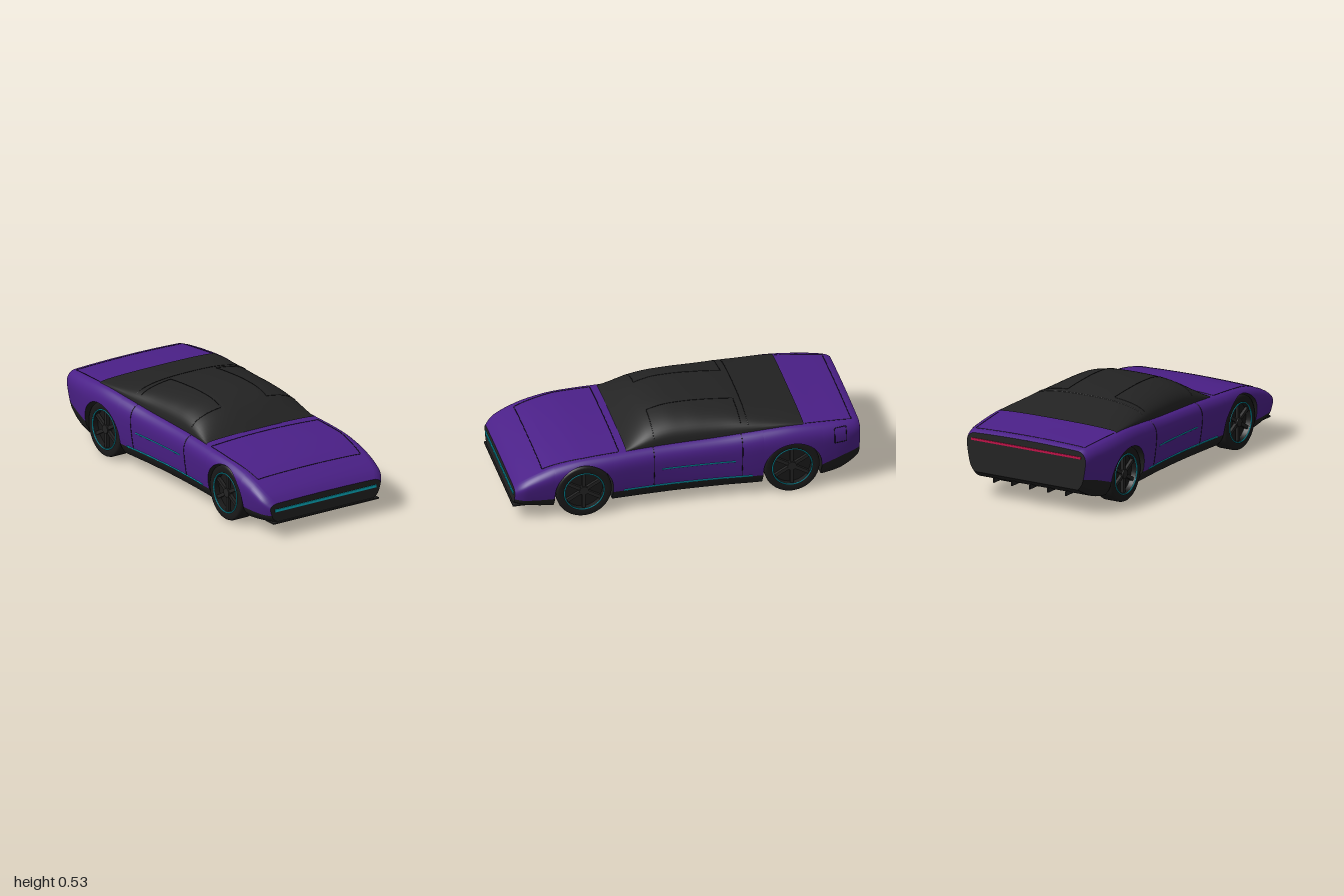
import * as THREE from 'three';

const mat = (name, color, side = THREE.FrontSide) => {
  const m = new THREE.MeshStandardMaterial({ color, side });
  m.name = name;
  return m;
};

// Smooth curve through [position, value] knots in ascending order
function curve(k) {
  const slope = (i) => {
    const a = k[Math.max(i - 1, 0)], b = k[Math.min(i + 1, k.length - 1)];
    return (b[1] - a[1]) / (b[0] - a[0]);
  };
  return (p) => {
    if (p <= k[0][0]) return k[0][1];
    if (p >= k[k.length - 1][0]) return k[k.length - 1][1];
    let i = 0;
    while (p > k[i + 1][0]) i++;
    const d = k[i + 1][0] - k[i][0], t = (p - k[i][0]) / d, t2 = t * t, t3 = t2 * t;
    return (2 * t3 - 3 * t2 + 1) * k[i][1] + (t3 - 2 * t2 + t) * d * slope(i)
      + (3 * t2 - 2 * t3) * k[i + 1][1] + (t3 - t2) * d * slope(i + 1);
  };
}

// Body measurements along z: half width, fender crest, sill top, floor, deck crown, roof
const BACK = -0.995, FRONT = 0.992;
const width = curve([[-1, 0.392], [-0.97, 0.407], [-0.92, 0.422], [-0.8, 0.441], [-0.6, 0.45], [-0.4, 0.441],
  [-0.2, 0.424], [0.05, 0.415], [0.25, 0.419], [0.5, 0.43], [0.8, 0.425], [0.93, 0.412], [0.97, 0.395], [1, 0.368]]);
const crest = curve([[-1, 0.38], [-0.97, 0.393], [-0.8, 0.408], [-0.6, 0.418], [-0.4, 0.405], [-0.2, 0.386],
  [0, 0.376], [0.2, 0.37], [0.4, 0.362], [0.6, 0.352], [0.7, 0.337], [0.8, 0.312], [0.9, 0.271], [0.96, 0.235], [1, 0.195]]);
const sill = curve([[-1, 0.222], [-0.9, 0.2], [-0.8, 0.168], [-0.7, 0.135], [-0.4, 0.13], [0.8, 0.13], [1, 0.135]]);
const floor = curve([[-1, 0.158], [-0.96, 0.132], [-0.88, 0.095], [-0.75, 0.076], [-0.5, 0.07], [0.75, 0.07], [1, 0.095]]);
const crown = curve([[-1, 0.008], [-0.8, 0.01], [-0.5, 0.014], [0.3, 0.015], [0.7, 0.012], [1, 0.004]]);
const roof = curve([[-0.67, 0.434], [-0.5, 0.466], [-0.3, 0.504], [-0.1, 0.523], [0, 0.525], [0.1, 0.518],
  [0.2, 0.488], [0.27, 0.444], [0.35, 0.382]]);
const flank = curve([[0, 0.87], [0.1, 0.92], [0.18, 0.945], [0.4, 0.975], [0.7, 1], [0.83, 0.994],
  [0.92, 0.965], [0.98, 0.92], [1, 0.88]]);

// Wheel arches
const AXLES = [-0.6, 0.6], WHEEL_R = 0.16, ARCH_R = 0.168, WELL_X = 0.28;
const archY = (z) => {
  const d = Math.min(...AXLES.map((a) => Math.abs(z - a)));
  return d <= ARCH_R + 1e-6 ? WHEEL_R + Math.sqrt(Math.max(0, ARCH_R ** 2 - d * d)) : -1;
};
const sideX = (z, y) => width(z) * flank((y - floor(z)) / (crest(z) - floor(z)));
const deckY = (x, z) => crest(z) + crown(z) * (1 - Math.min(1, (x / (0.88 * width(z))) ** 2));
const cabinY = (x, z) => {
  if (z < -0.67 || z > 0.35) return 0;
  const u = Math.min(1, Math.abs(x) / (0.875 * width(z)));
  return crest(z) + (roof(z) - crest(z)) * (1 - u ** 2.5) ** 0.4;
};
const topY = (x, z) => Math.max(deckY(x, z), cabinY(x, z));

// Skin between cross-sections; section(z) returns [x, y] points, stations ascend in z
function loft(stations, section) {
  const pos = [], idx = [];
  let n = 0;
  stations.forEach((z, i) => {
    const pts = section(z);
    n = pts.length;
    pts.forEach(([x, y]) => pos.push(x, y, z));
    if (i) for (let j = 0; j < n - 1; j++) {
      const a = (i - 1) * n + j, c = a + n;
      idx.push(a, a + 1, c, a + 1, c + 1, c);
    }
  });
  const g = new THREE.BufferGeometry();
  g.setAttribute('position', new THREE.Float32BufferAttribute(pos, 3));
  g.setIndex(idx);
  g.computeVertexNormals();
  return g;
}
const range = (a, b, n) => Array.from({ length: n + 1 }, (_, i) => a + (b - a) * i / n);
const mirror = (pts) => pts.map(([x, y]) => [-x, y]).reverse();
const archStations = (c) => [c - ARCH_R - 5e-4, ...range(-1, 1, 24).map((t) => c + ARCH_R * Math.sin(t * Math.PI / 2)), c + ARCH_R + 5e-4];

// Half sections, listed from the bottom up
const sillHalf = (z) => {
  const lo = Math.max(floor(z), archY(z)), hi = Math.max(sill(z), archY(z));
  return range(lo, hi, 4).map((y) => [sideX(z, y), y]);
};
const panelHalf = (z) => {
  const lo = Math.max(sill(z), archY(z)), hi = crest(z);
  const side = range(0, 1, 16).map((t) => lo + (hi - lo) * (1 - (1 - t) ** 1.8)).map((y) => [sideX(z, y), y]);
  return [...side, ...range(0.85, 0.15, 5).map((t) => [0.88 * width(z) * t, deckY(0.88 * width(z) * t, z)])];
};

export function createModel() {
  const paint = mat('purple paint', 0x4b2088);
  const glass = mat('black glass', 0x232323);
  const trim = mat('dark trim', 0x1e1e1e, THREE.DoubleSide);
  const rubber = mat('tyre rubber', 0x191919);
  const seamMat = mat('panel gap', 0x0e0e10);
  const cyan = mat('cyan light', 0x06b8cc);
  const red = mat('red light', 0xc00f48);
  const steel = mat('brake steel', 0xa0a0a0);
  const car = new THREE.Group();
  car.name = 'sportsCar';
  const add = (name, geo, material, parent = car) => {
    const m = new THREE.Mesh(geo, material);
    m.name = name;
    parent.add(m);
    return m;
  };
  const box = (name, size, at, material, parent) => {
    const m = add(name, new THREE.BoxGeometry(...size), material, parent);
    m.position.set(...at);
    return m;
  };

  // Body shell, sills and floor
  const stations = [...range(BACK, -0.85, 10), ...range(-0.8, 0.8, 40), ...range(0.85, FRONT, 10)]
    .filter((z) => AXLES.every((a) => Math.abs(z - a) > ARCH_R + 0.001))
    .concat(...AXLES.map(archStations)).sort((a, b) => a - b);
  add('bodyShell', loft(stations, (z) => [...panelHalf(z), [0, deckY(0, z)], ...mirror(panelHalf(z))]), paint);
  add('leftSill', loft(stations, sillHalf), trim);
  add('rightSill', loft(stations, (z) => mirror(sillHalf(z))), trim);
  add('floorPan', loft(stations, (z) => {
    const x = archY(z) > 0 ? WELL_X : sideX(z, floor(z));
    return [[-x, floor(z)], [x, floor(z)]];
  }), trim);

  // Wheel wells
  for (const c of AXLES) for (const s of [1, -1]) {
    add('wheelWell', loft(archStations(c), (z) => {
      const y = Math.max(floor(z), archY(z));
      return [[s * WELL_X, floor(z)], [s * WELL_X, y], [s * sideX(z, y), y]];
    }), trim);
  }

  // Nose and tail panels closing the shell
  for (const [name, z] of [['nosePanel', FRONT], ['tailPanel', BACK]]) {
    const half = [...sillHalf(z), ...panelHalf(z).slice(1)];
    const outline = [...half, ...mirror(half)].map(([x, y]) => new THREE.Vector2(x, y));
    const panel = add(name, new THREE.ShapeGeometry(new THREE.Shape(outline)), glass);
    panel.position.z = z;
    if (z < 0) panel.rotation.y = Math.PI;
  }
  box('frontLightBar', [0.69, 0.015, 0.008], [0, 0.162, 0.993], cyan);
  box('rearLightBar', [0.73, 0.013, 0.008], [0, 0.345, -0.996], red);
  box('frontSplitter', [0.72, 0.008, 0.13], [0, 0.088, 0.935], trim);
  for (let i = -2; i <= 2; i++) box('diffuserFin', [0.008, 0.025, 0.08], [i * 0.12, 0.108, -0.92], trim);

  // Glass cabin, running from windscreen to rear window
  add('cabin', loft(range(-0.67, 0.35, 48), (z) => range(0, 1, 32).map((t) => {
    const c = Math.cos(t * Math.PI), s = Math.sin(t * Math.PI), h = roof(z) - crest(z);
    return [0.875 * width(z) * Math.sign(c) * Math.abs(c) ** 0.8, crest(z) + h * Math.max(0, s) ** 0.8];
  })), glass);

  // Thin lines that follow the skin
  const line = (name, corners, place, material, r = 0.002) => {
    const pts = [];
    corners.slice(1).forEach((b, i) => {
      const a = corners[i];
      range(0, 1, 20).slice(i ? 1 : 0).forEach((t) => pts.push(place(a[0] + (b[0] - a[0]) * t, a[1] + (b[1] - a[1]) * t)));
    });
    add(name, new THREE.TubeGeometry(new THREE.CatmullRomCurve3(pts), pts.length * 2, r, 5), material);
  };
  const onTop = (x, z) => new THREE.Vector3(x, topY(x, z), z);
  line('hoodSeam', [[-0.365, 0.39], [0.365, 0.39], [0.372, 0.6], [0.35, 0.83], [-0.35, 0.83], [-0.372, 0.6], [-0.365, 0.39]], onTop, seamMat);
  line('bootSeam', [[-0.385, -0.68], [-0.362, -0.95], [0.362, -0.95], [0.385, -0.68]], onTop, seamMat);
  line('rearWindowSeam', [[-0.365, -0.355], [0.365, -0.355]], onTop, seamMat);
  for (const s of [1, -1]) {
    const onSide = (z, y) => new THREE.Vector3(s * sideX(z, y), y, z);
    line('roofPanelSeam', [[s * 0.355, 0.185], [s * 0.155, 0.185], [s * 0.155, -0.315], [s * 0.355, -0.315]], onTop, seamMat);
    for (const z of [0.195, -0.31]) line('doorSeam', [[z, 0.135], [z, crest(z)]], onSide, seamMat);
    line('doorLight', [[0.15, 0.245], [-0.27, 0.245]], onSide, cyan, 0.004);
    line('sillLight', [[0.37, 0.134], [-0.37, 0.134]], onSide, cyan, 0.005);
    if (s > 0) line('fuelFlap', [[-0.84, 0.295], [-0.91, 0.295], [-0.91, 0.382], [-0.84, 0.382], [-0.84, 0.295]], onSide, seamMat);
  }

  // Wheels, built with the outer face towards +x
  const tyre = [[0.113, -0.05], [0.12, -0.0575], [0.148, -0.0575], [0.157, -0.052], [0.16, -0.043], [0.16, 0.043],
    [0.157, 0.052], [0.148, 0.0575], [0.12, 0.0575], [0.113, 0.05], [0.113, -0.05]].map((p) => new THREE.Vector2(...p));
  for (const z of AXLES) for (const s of [1, -1]) {
    const wheel = new THREE.Group();
    wheel.name = z > 0 ? 'frontWheel' : 'rearWheel';
    const disc = (name, r, depth, x, material) =>
      add(name, new THREE.CylinderGeometry(r, r, depth, 40).rotateZ(-Math.PI / 2), material, wheel).position.setX(x);
    add('tyre', new THREE.LatheGeometry(tyre, 48).rotateZ(-Math.PI / 2), rubber, wheel);
    disc('rimBack', 0.113, 0.01, 0.015, rubber);
    disc('brakeDisc', 0.085, 0.012, -0.015, steel);
    disc('axleHub', 0.035, 0.05, -0.02, rubber);
    disc('hubCap', 0.026, 0.03, 0.036, glass);
    for (let i = 0; i < 6; i++) {
      const a = i * Math.PI / 3;
      const spoke = box('spoke', [0.018, 0.092, 0.02], [0.036, 0.064 * Math.cos(a), 0.064 * Math.sin(a)], glass, wheel);
      spoke.rotation.x = a;
    }
    add('rimLight', new THREE.TorusGeometry(0.114, 0.0035, 6, 48).rotateY(Math.PI / 2), cyan, wheel).position.setX(0.056);
    wheel.position.set(s * 0.3575, WHEEL_R, z);
    if (s < 0) wheel.rotation.y = Math.PI;
    car.add(wheel);
  }
  return car;
}
